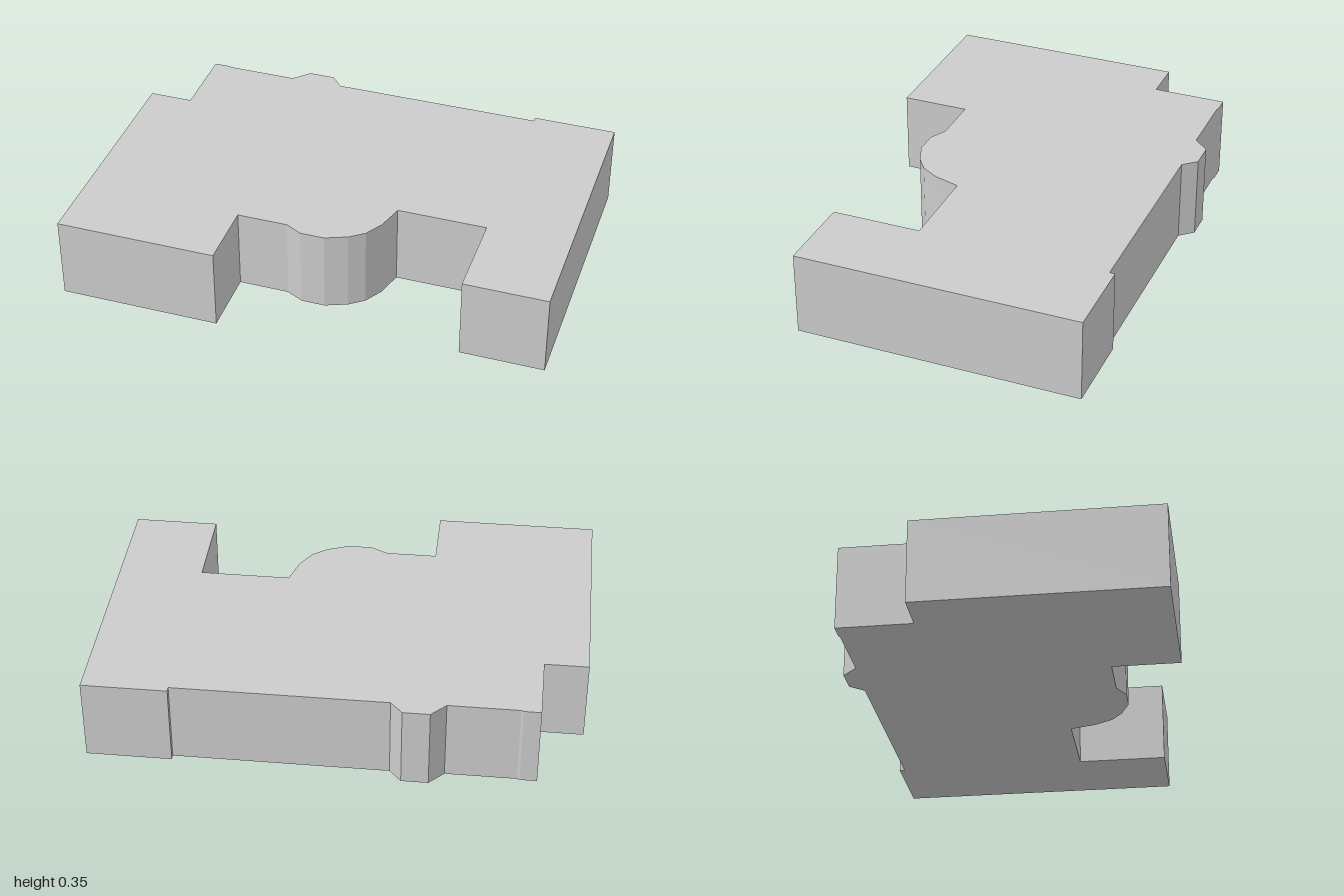
import * as THREE from 'three';

const HEIGHT = 0.35;

// Plan outline as [x, z] corners, one list per side of the block
const leftWing = [[0.65, 0.17], [0.65, 0.545], [1, 0.545], [1, -0.65], [0.65, -0.65], [0.65, -0.627]];
const rearBay = [[-0.23, -0.627], [-0.28, -0.683], [-0.39, -0.683], [-0.45, -0.62]];
const rearCorner = [[-0.74, -0.62], [-0.75, -0.625], [-0.82, -0.625], [-0.82, -0.315], [-1, -0.315]];
const rightWing = [[-1, 0.68], [-0.33, 0.68], [-0.33, 0.4]];
const roundedBay = [
  [-0.12, 0.4], [-0.05, 0.436], [0.05, 0.436], [0.14, 0.4],
  [0.2, 0.355], [0.245, 0.28], [0.277, 0.17],
];

export function createModel() {
  const group = new THREE.Group();
  group.name = 'buildingBlock';

  // Extrude the plan upwards; shape y becomes -z after the rotation
  const outline = [...leftWing, ...rearBay, ...rearCorner, ...rightWing, ...roundedBay];
  const shape = new THREE.Shape(outline.map(([x, z]) => new THREE.Vector2(x, -z)));
  const geometry = new THREE.ExtrudeGeometry(shape, { depth: HEIGHT, bevelEnabled: false });
  geometry.rotateX(-Math.PI / 2);

  const material = new THREE.MeshStandardMaterial({ color: 0xcccccc, flatShading: true });
  const block = new THREE.Mesh(geometry, material);
  block.name = 'floorBlock';
  group.add(block);
  return group;
}
